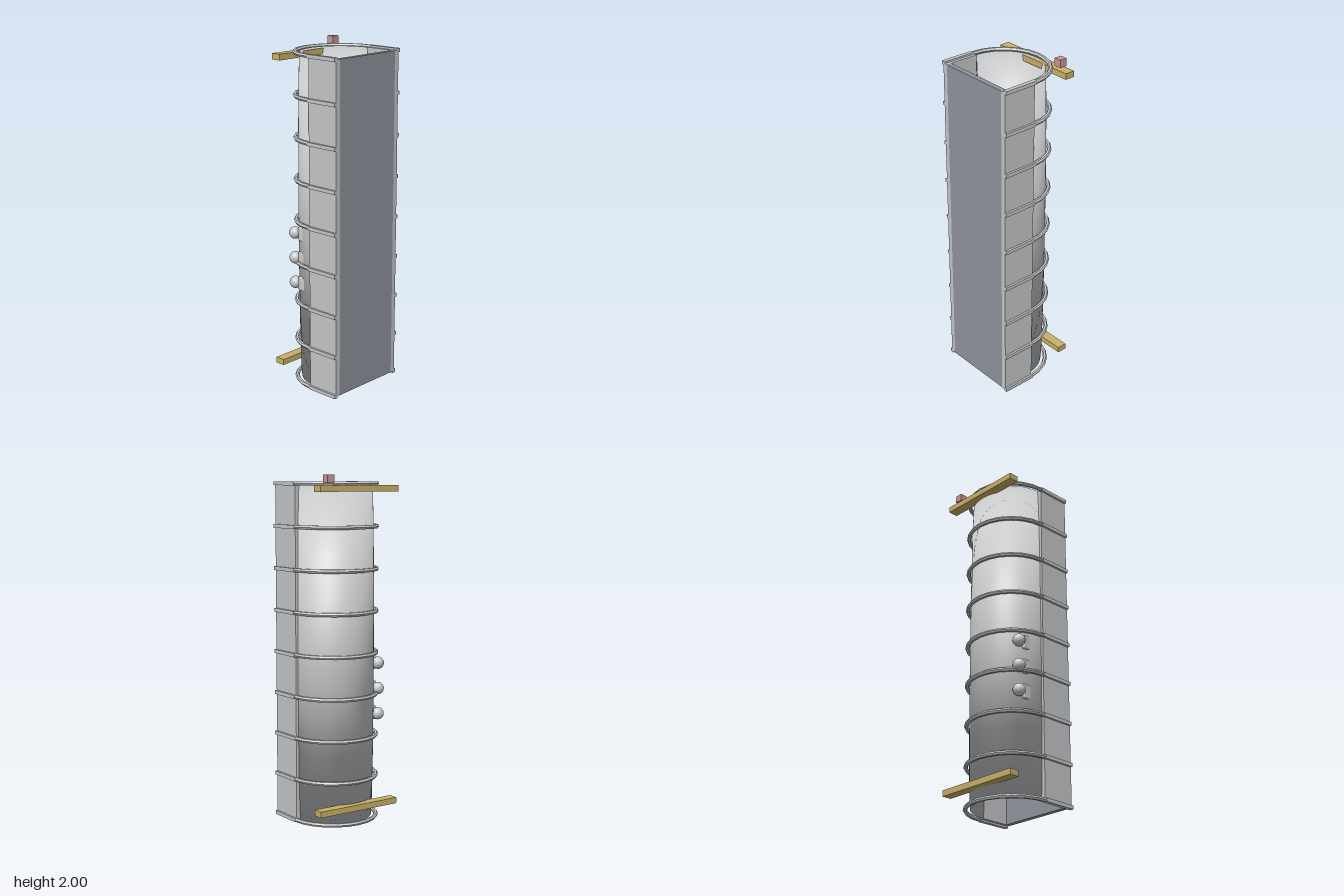
import * as THREE from 'three';
import { RoundedBoxGeometry } from 'three/addons/geometries/RoundedBoxGeometry.js';

export function createModel() {
  const model = new THREE.Group();
  model.name = 'shaft';

  const mat = (name, color, side = THREE.FrontSide) => {
    const m = new THREE.MeshStandardMaterial({ color, side });
    m.name = name;
    return m;
  };
  const lightGray = mat('lightGray', 0xc8cacc, THREE.DoubleSide);
  const gray = mat('frameGray', 0xc4c6c8, THREE.DoubleSide);
  const slate = mat('slateGray', 0x91949f);
  const ochre = mat('ochre', 0xc8b068);
  const pink = mat('pink', 0xc99599);
  const copper = mat('copper', 0xcc965f);

  const add = (name, geometry, material, x = 0, y = 0, z = 0) => {
    const mesh = new THREE.Mesh(geometry, material);
    mesh.name = name;
    mesh.position.set(x, y, z);
    model.add(mesh);
    return mesh;
  };
  const box = (w, h, d) => new THREE.BoxGeometry(w, h, d);

  // Half torus lying flat, bulging toward -x
  const halfTorus = (radius, tube, sides, steps) =>
    new THREE.TorusGeometry(radius, tube, sides, steps, Math.PI)
      .rotateZ(Math.PI / 2)
      .rotateX(Math.PI / 2);

  const zc = -0.002, xc = 0.03, xEnd = 0.237;
  const yLow = 0.011, step = 0.2425, yMid = yLow + step * 4;
  const wallHeight = step * 8;

  // Curved wall: half torus stretched upward, keeping its rounded normals
  const wall = halfTorus(0.227, 0.0135, 20, 32);
  const p = wall.attributes.position;
  for (let i = 0; i < p.count; i++) p.setY(i, p.getY(i) * (wallHeight / 2 / 0.0135));
  add('curvedWall', wall, lightGray, xc, yMid, zc);

  // Flat side panels and back wall
  const sideLength = xEnd - xc, sideX = (xEnd + xc) / 2;
  for (const s of [-1, 1]) {
    add('sidePanel', box(sideLength, wallHeight, 0.03), gray, sideX, yMid, zc + s * 0.24);
  }
  add('backWall', box(0.03, wallHeight, 0.451), slate, 0.222, yMid, zc);

  // Ribs: a faceted half ring continued by two straight bars
  const ring = halfTorus(0.2555, 0.0125, 6, 12).toNonIndexed();
  ring.computeVertexNormals();
  const bar = box(sideLength, 0.0216, 0.025);
  for (let i = 0; i < 9; i++) {
    const y = yLow + i * step;
    add('ribRing', ring, gray, xc, y, zc);
    for (const s of [-1, 1]) add('ribBar', bar, gray, sideX, y, zc + s * 0.2555);
  }

  // Cross beams and the small block above
  for (const y of [0.107, 1.924]) add('crossBeam', box(0.06, 0.035, 0.536), ochre, -0.21, y, zc);
  add('topBlock', box(0.045, 0.045, 0.045), pink, -0.21, 1.9775, -0.195);

  // Inner panel with a raised plate
  add('innerPanel', new RoundedBoxGeometry(0.222, 0.18, 0.036, 3, 0.006), copper, 0.066, 1.445, -0.211);
  add('innerPlate', box(0.078, 0.08, 0.008), gray, 0.059, 1.445, -0.192);

  // Knobs with rounded backing plates
  const knob = new THREE.SphereGeometry(0.036, 24, 16);
  const plate = new RoundedBoxGeometry(0.24, 0.085, 0.02, 3, 0.009);
  for (const y of [0.915, 0.765, 0.615]) {
    add('knob', knob, lightGray, -0.122, y, 0.214);
    add('knobPlate', plate, lightGray, 0.027, y, 0.215);
  }

  return model;
}
